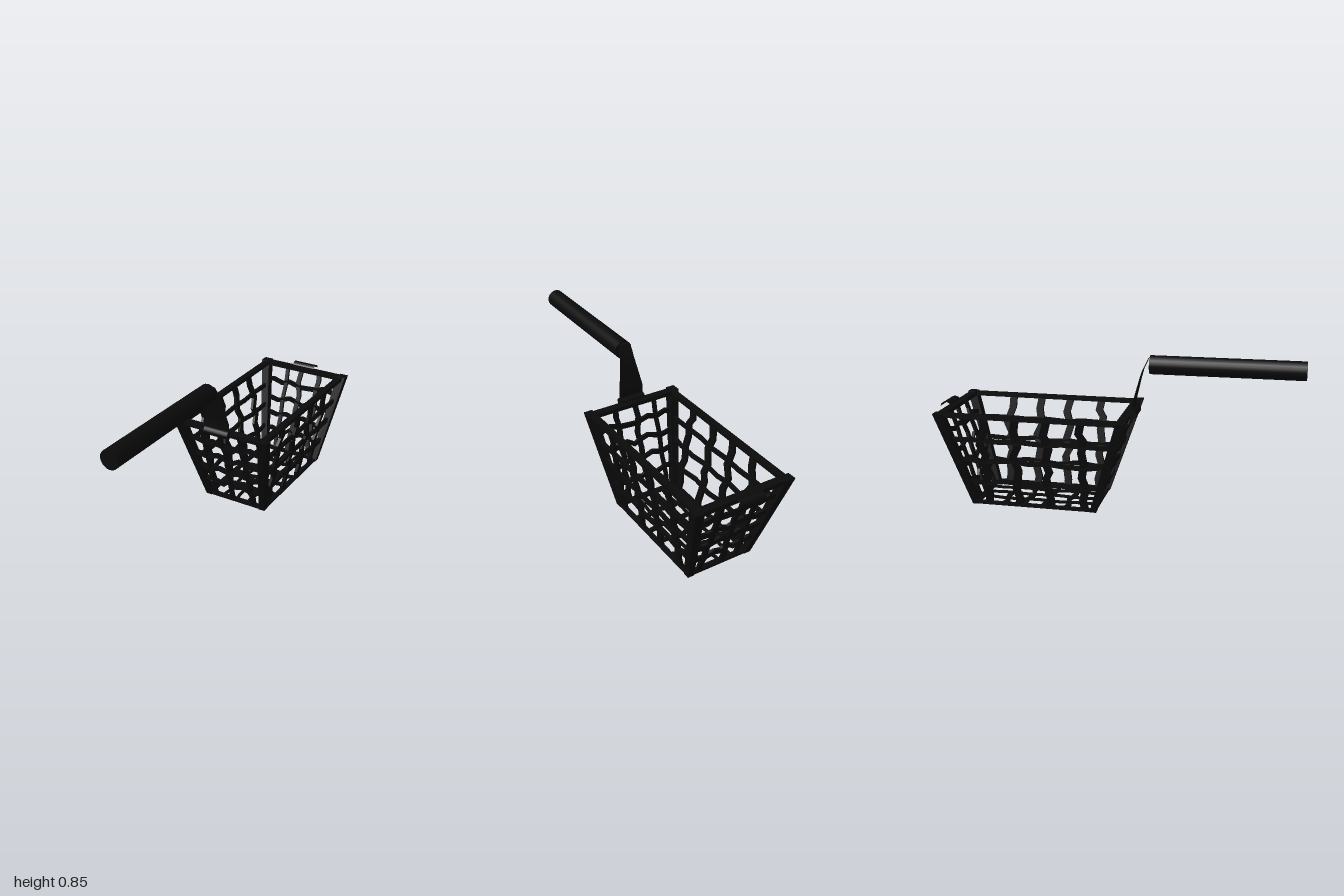
import * as THREE from 'three';

const H = 0.537;
const V = (x, y, z) => new THREE.Vector3(x, y, z);
const black = new THREE.MeshStandardMaterial({ color: 0x0a0a0a, flatShading: true, side: THREE.DoubleSide });
const smoothBlack = new THREE.MeshStandardMaterial({ color: 0x0a0a0a });

// Wall planes: distance of each wall's centre line at height y
const frontZ = y => -0.1 + 0.172 * y / H;
const backZ = y => -0.772 - 0.163 * y / H;
const sideX = y => 0.176 + 0.087 * y / H;

// Rectangular bar through points; w and t are full width and thickness vectors, scale(i) is optional
function bar(name, pts, w, t, scale = () => 1) {
  const dir = pts[pts.length - 1].clone().sub(pts[0]);
  const flip = w.clone().cross(t).dot(dir) < 0;
  const corners = flip ? [[-1, -1], [-1, 1], [1, 1], [1, -1]] : [[-1, -1], [1, -1], [1, 1], [-1, 1]];
  const pos = [], idx = [];
  pts.forEach((p, i) => corners.forEach(([a, b]) => {
    const q = p.clone().addScaledVector(w, a * scale(i) / 2).addScaledVector(t, b * scale(i) / 2);
    pos.push(q.x, q.y, q.z);
  }));
  for (let i = 0; i < pts.length - 1; i++) {
    for (let k = 0; k < 4; k++) {
      const a = i * 4 + k, b = i * 4 + (k + 1) % 4;
      idx.push(a, b, b + 4, a, b + 4, a + 4);
    }
  }
  const e = (pts.length - 1) * 4;
  idx.push(0, 2, 1, 0, 3, 2, e, e + 1, e + 2, e, e + 2, e + 3);
  const g = new THREE.BufferGeometry();
  g.setAttribute('position', new THREE.Float32BufferAttribute(pos, 3));
  g.setIndex(idx);
  g.computeVertexNormals();
  const m = new THREE.Mesh(g, black);
  m.name = name;
  return m;
}

function box(name, w, h, d, x, y, z) {
  const m = new THREE.Mesh(new THREE.BoxGeometry(w, h, d), black);
  m.position.set(x, y, z);
  m.name = name;
  return m;
}

// Thin curved sheet: profile points are [z, y, half width]
function sheet(name, profile) {
  const cx = -0.009, pos = [], idx = [];
  profile.forEach(([z, y, h], i) => {
    pos.push(cx - h, y, z, cx + h, y, z);
    if (i) { const a = 2 * i - 2; idx.push(a, a + 1, a + 3, a, a + 3, a + 2); }
  });
  const g = new THREE.BufferGeometry();
  g.setAttribute('position', new THREE.Float32BufferAttribute(pos, 3));
  g.setIndex(idx);
  g.computeVertexNormals();
  const m = new THREE.Mesh(g, black);
  m.name = name;
  return m;
}

// End-wall strands: [x, y]
const endRows = [
  [[-.25, .42], [-.19, .43], [-.13, .415], [-.08, .43], [0, .412], [.05, .415], [.11, .42], [.16, .435], [.245, .415]],
  [[-.225, .32], [-.14, .305], [-.06, .33], [0, .315], [.03, .303], [.07, .327], [.12, .318], [.15, .31], [.225, .318]],
  [[-.21, .228], [-.13, .215], [-.07, .23], [0, .212], [.05, .228], [.1, .217], [.15, .207], [.21, .225]],
  [[-.19, .12], [-.15, .13], [-.06, .108], [-.03, .135], [.02, .113], [.06, .127], [.11, .11], [.19, .125]],
];
const endColumns = [
  [[-.01, .525], [-.02, .44], [0, .36], [-.01, .27], [-.005, .2], [-.01, .14], [-.02, .07], [-.02, .03], [-.012, 0]],
  [[.11, .525], [.115, .47], [.105, .42], [.115, .3], [.105, .25], [.12, .17], [.108, .1], [.122, .06], [.115, 0]],
];
const leftColumn = [[-.135, .525], [-.13, .42], [-.136, .32], [-.13, .2], [-.136, .08], [-.13, 0]];

// Side-wall strands: [z, y]
const sideColumns = [
  [[-.145, .525], [-.16, .46], [-.135, .42], [-.15, .35], [-.14, .28], [-.155, .2], [-.135, .14], [-.155, .06], [-.145, 0]],
  [[-.33, .525], [-.355, .44], [-.33, .36], [-.355, .28], [-.335, .22], [-.355, .18], [-.345, .1], [-.335, .04], [-.34, 0]],
  [[-.505, .525], [-.52, .45], [-.505, .36], [-.535, .3], [-.51, .22], [-.53, .1], [-.515, .05], [-.525, 0]],
  [[-.68, .525], [-.685, .45], [-.72, .36], [-.69, .3], [-.71, .25], [-.685, .2], [-.7, .14], [-.69, .06], [-.7, 0]],
];
const sideRows = [
  [[.025, .385], [-.1, .387], [-.25, .392], [-.36, .383], [-.48, .39], [-.6, .384], [-.72, .39], [-.885, .386]],
  [[-.01, .28], [-.1, .262], [-.22, .258], [-.33, .27], [-.45, .262], [-.55, .275], [-.68, .262], [-.85, .27]],
  [[-.05, .145], [-.17, .132], [-.28, .145], [-.4, .128], [-.5, .14], [-.6, .145], [-.7, .128], [-.81, .14]],
];

export function createModel() {
  const model = new THREE.Group();

  // Corner posts, tapering towards the floor
  for (const s of [-1, 1]) {
    for (const wall of [frontZ, backZ]) {
      model.add(bar('cornerPost', [V(s * sideX(0), 0, wall(0)), V(s * sideX(H), H, wall(H))],
        V(0.037, 0, 0), V(0, 0, 0.037), i => (i ? 1.4 : 1)));
    }
    // Long rim strips
    model.add(box('topSideRim', 0.036, 0.022, 1.0, s * 0.253, 0.525, -0.432));
    model.add(box('bottomSideRim', 0.026, 0.015, 0.69, s * 0.178, 0.0075, -0.435));
  }

  // Front and back walls
  for (const wall of [frontZ, backZ]) {
    const front = wall === frontZ;
    model.add(box('topEndRim', 0.53, 0.022, 0.046, 0, 0.525, front ? 0.063 : -0.928));
    model.add(box('bottomEndRim', 0.37, 0.015, 0.03, 0, 0.0075, wall(0)));
    const onWall = ([x, y]) => V(x, y, wall(y));
    for (const row of endRows) model.add(bar('endRow', row.map(onWall), V(0, 0.027, 0), V(0, 0, 0.016)));
    for (const col of endColumns) model.add(bar('endColumn', col.map(onWall), V(0.028, 0, 0), V(0, 0, 0.016)));
    const shift = front ? 0 : 0.027;
    model.add(bar('endColumn', leftColumn.map(([x, y]) => onWall([x + shift, y])), V(0.022, 0, 0), V(0, 0, 0.016)));
  }

  // Left and right walls
  for (const s of [-1, 1]) {
    const onWall = ([z, y]) => V(s * sideX(y), y, z);
    for (const col of sideColumns) model.add(bar('sideColumn', col.map(onWall), V(0, 0, 0.042), V(0.016, 0, 0)));
    for (const row of sideRows) model.add(bar('sideRow', row.map(onWall), V(0, 0.024, 0), V(0.016, 0, 0)));
  }

  // Floor mesh
  [-0.615, -0.495, -0.38, -0.26].forEach((z, r) => {
    const pts = [];
    for (let i = 0; i <= 8; i++) pts.push(V(-0.175 + i * 0.04375, 0.008, z + 0.01 * Math.sin(i * 1.7 + r * 2)));
    model.add(bar('floorRow', pts, V(0, 0, 0.026), V(0, 0.013, 0)));
  });
  [-0.09, -0.007, 0.075].forEach((x, r) => {
    const pts = [];
    for (let i = 0; i <= 10; i++) pts.push(V(x + 0.006 * Math.sin(i * 1.5 + r * 2), 0.008, -0.1 - i * 0.067));
    model.add(bar('floorColumn', pts, V(0.014, 0, 0), V(0, 0.013, 0)));
  });

  // Handle grip
  const grip = new THREE.Mesh(new THREE.CylinderGeometry(0.051, 0.051, 0.82, 20), smoothBlack);
  grip.rotation.x = Math.PI / 2;
  grip.position.set(-0.01, 0.799, 0.59);
  grip.name = 'handleGrip';
  model.add(grip);

  // Sheet bracket from the rim up to the grip
  model.add(sheet('handleBracket', [
    [0.095, 0.51, 0.074], [0.097, 0.6, 0.074], [0.112, 0.66, 0.063], [0.13, 0.73, 0.05],
    [0.142, 0.77, 0.043], [0.158, 0.805, 0.042], [0.172, 0.835, 0.035], [0.182, 0.843, 0.025],
  ]));
  const curl = new THREE.Mesh(new THREE.CylinderGeometry(0.024, 0.024, 0.148, 14), smoothBlack);
  curl.rotation.z = Math.PI / 2;
  curl.position.set(-0.009, 0.533, 0.096);
  curl.name = 'bracketCurl';
  model.add(curl);

  // Hanging hook on the back rim
  const hook = [];
  for (let i = 0; i <= 8; i++) {
    const a = Math.PI * i / 8;
    hook.push([-0.97 + 0.03 * Math.cos(a), 0.527 + 0.024 * Math.sin(a), 0.073]);
  }
  model.add(sheet('backHook', hook));

  return model;
}
